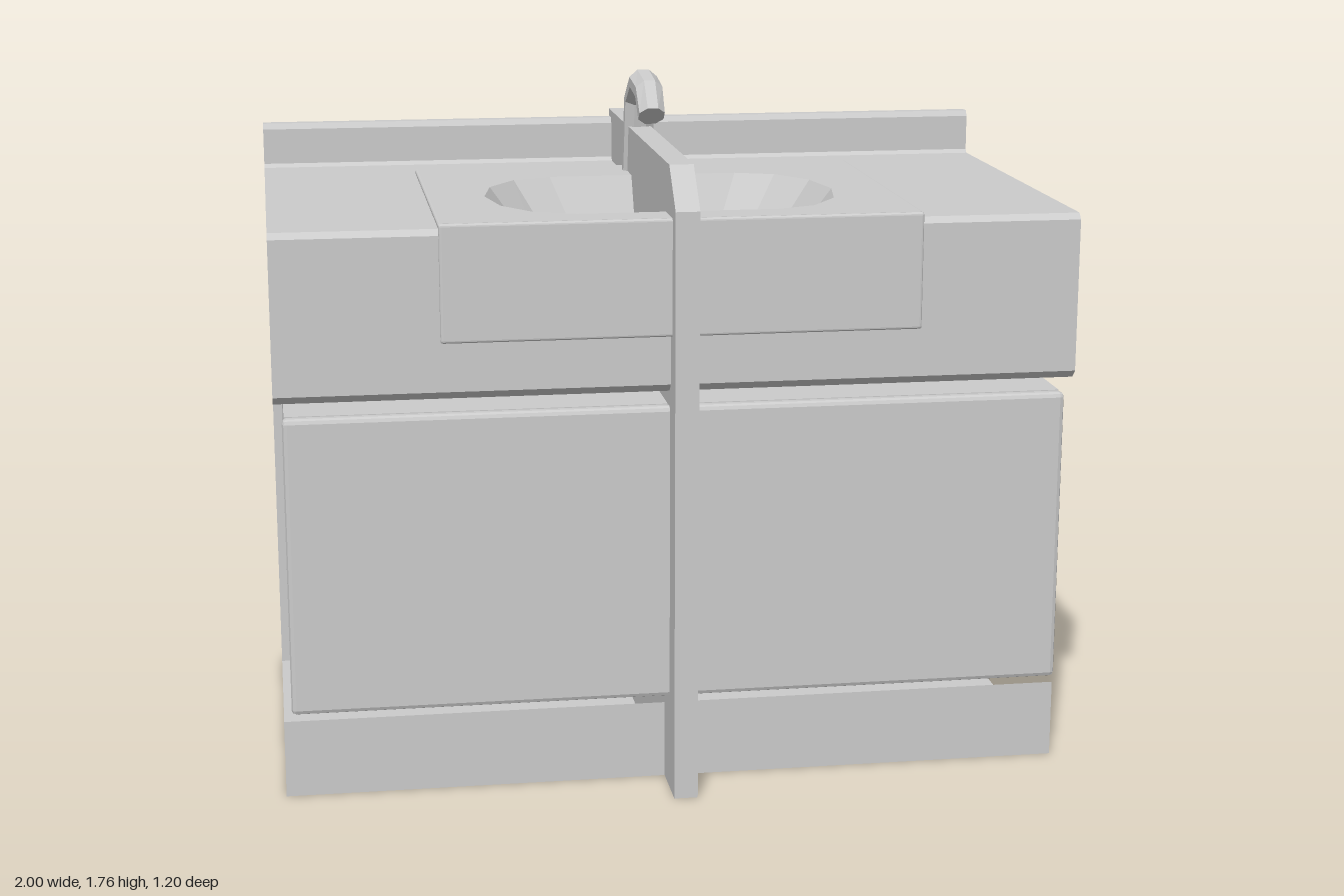
import * as THREE from 'three';
import { RoundedBoxGeometry } from 'three/addons/geometries/RoundedBoxGeometry.js';

const mat = new THREE.MeshStandardMaterial({ color: 0xcccccc, flatShading: true });
const thin = new THREE.MeshStandardMaterial({ color: 0xcccccc, flatShading: true, side: THREE.DoubleSide });

// Skin between successive rows of points; closed joins the ends of each row
function loft(rows, closed) {
  const n = rows[0].length, pos = rows.flat(2), index = [];
  for (let i = 0; i < rows.length - 1; i++) {
    for (let j = 0; j < (closed ? n : n - 1); j++) {
      const a = i * n + j, b = i * n + (j + 1) % n;
      index.push(a, b, a + n, b, b + n, a + n);
    }
  }
  const g = new THREE.BufferGeometry();
  g.setAttribute('position', new THREE.Float32BufferAttribute(pos, 3));
  g.setIndex(index);
  g.computeVertexNormals();
  return g;
}

// Thin bent sheet: a (z, y) profile drawn along x
const sheet = (profile, x0, x1) =>
  loft([x0, x1].map(x => profile.map(([z, y]) => [x, y, z])), false);

// Elongated basin outline: two half ellipses joined by straight sides, as [x, z]
function basinOutline(halfFlat, rx, rz) {
  const pts = [];
  for (const side of [1, -1]) {
    for (let i = 0; i <= 6; i++) {
      const a = (i / 6 - 0.5) * Math.PI;
      pts.push([side * (halfFlat + rx * Math.cos(a)), 0.15 + side * rz * Math.sin(a)]);
    }
  }
  return pts;
}

export function createModel() {
  const root = new THREE.Group();
  const add = (name, geometry, material = mat, x = 0, y = 0, z = 0) => {
    const m = new THREE.Mesh(geometry, material);
    m.name = name;
    m.position.set(x, y, z);
    root.add(m);
    return m;
  };

  // Carcass sheet: toe kick, floor, back, splash and rear of the counter
  add('carcassAndBacksplash', sheet([
    [0.44, 0.2], [0.44, 0], [-0.6, 0], [-0.6, 1.57], [-0.59, 1.58], [-0.56, 1.58],
    [-0.55, 1.565], [-0.55, 1.47], [-0.54, 1.46], [-0.32, 1.46]], -1, 1), thin);

  // Counter and upper apron on both sides of the sink cutout
  const counter = [[-0.32, 1.46], [0.515, 1.46], [0.53, 1.445], [0.53, 1.2]];
  add('counterLeft', sheet(counter, 0.585, 1), thin);
  add('counterRight', sheet(counter, -1, -0.585), thin);
  add('lowerApron', sheet([[0.53, 1.2], [0.53, 1.06], [0.51, 1.04]], -1, 1), thin);

  // Cabinet box and front
  add('cabinetBox', new THREE.BoxGeometry(1.95, 0.755, 0.8), mat, 0, 0.6225, 0.08);
  add('cabinetFront', new RoundedBoxGeometry(1.96, 0.757, 0.04, 1, 0.012), mat, 0, 0.6225, 0.5);

  // Sink deck with basin opening
  const rim = basinOutline(0.25, 0.2, 0.3);
  const deck = new THREE.Shape([[-0.59, -0.545], [0.59, -0.545], [0.59, 0.335], [-0.59, 0.335]]
    .map(p => new THREE.Vector2(...p)));
  deck.holes.push(new THREE.Path(rim.map(([x, z]) => new THREE.Vector2(x, -z))));
  const deckGeo = new THREE.ExtrudeGeometry(deck, { depth: 0.014, bevelEnabled: false });
  deckGeo.rotateX(-Math.PI / 2);
  add('sinkDeck', deckGeo, mat, 0, 1.463, 0);
  // Rounded edging around the deck
  for (const s of [1, -1]) {
    add('sinkSideEdge', new RoundedBoxGeometry(0.016, 0.014, 0.89, 2, 0.006), mat, s * 0.588, 1.47, 0.105);
  }
  add('sinkRearEdge', new RoundedBoxGeometry(1.19, 0.014, 0.016, 2, 0.006), mat, 0, 1.47, -0.333);
  add('sinkApron', new RoundedBoxGeometry(1.19, 0.292, 0.016, 2, 0.007), mat, 0, 1.331, 0.548);

  // Basin walls and floor
  const base = basinOutline(0.17, 0.13, 0.2);
  add('basin', loft([
    rim.map(([x, z]) => [x, 1.477, z]),
    base.map(([x, z]) => [x, 1.28, z]),
    base.map(() => [0, 1.28, 0.15])], true), thin);

  // Faucet: tapered eight-sided sections along a bent path in (z, y)
  const path = [[-0.247, 1.47], [-0.212, 1.672], [-0.133, 1.728], [-0.038, 1.713], [0.012, 1.655]];
  const sections = path.map(([z, y], i) => {
    const p = path[Math.max(i - 1, 0)], q = path[Math.min(i + 1, path.length - 1)];
    const len = Math.hypot(q[0] - p[0], q[1] - p[1]);
    const nz = -(q[1] - p[1]) / len, ny = (q[0] - p[0]) / len;
    const rx = 0.044 - i * 0.002, r = 0.028 + i * 0.002;
    return Array.from({ length: 8 }, (_, k) => {
      const a = (k + 0.5) * Math.PI / 4, c = r * Math.cos(a) / Math.cos(Math.PI / 8);
      return [rx * Math.sin(a), y + ny * c, z + nz * c];
    });
  });
  const tip = path[path.length - 1];
  sections.push(sections[4].map(() => [0, tip[1], tip[0]]));
  add('faucet', loft(sections, true), thin);

  // Upright centre panel with a clipped front corner
  const panel = new THREE.Shape([[-0.6, 0], [0.6, 0], [0.6, 1.5], [0.5, 1.6], [-0.6, 1.6]]
    .map(p => new THREE.Vector2(...p)));
  const panelGeo = new THREE.ExtrudeGeometry(panel, { depth: 0.06, bevelEnabled: false });
  panelGeo.rotateY(-Math.PI / 2);
  add('centrePanel', panelGeo, mat, 0.03, 0, 0);

  return root;
}
